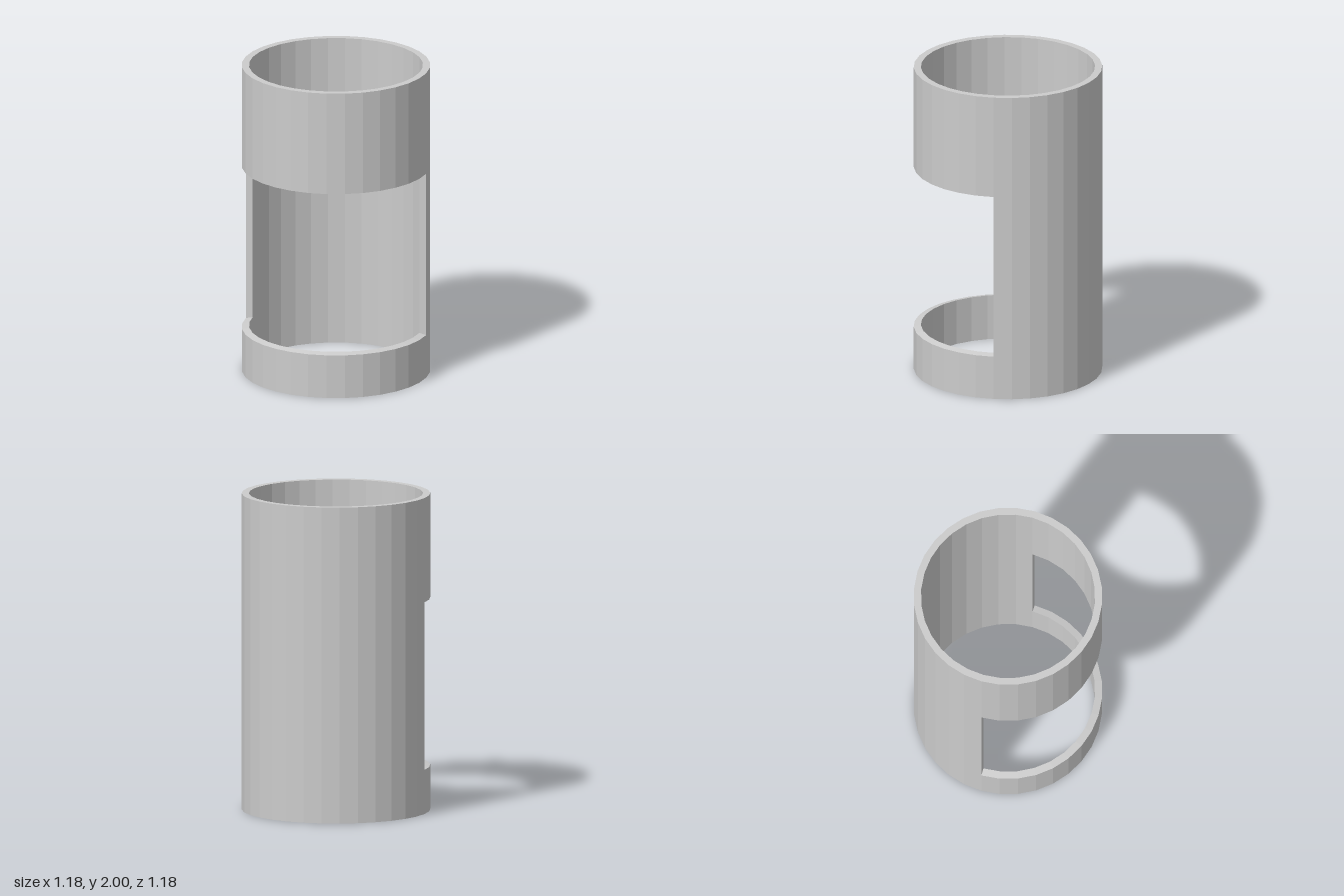
import * as THREE from 'three';

const OUTER = 0.59, INNER = 0.545, HEIGHT = 2;
// Window edges: the lips slope slightly from the outer to the inner wall
const LOW_OUT = 0.28, LOW_IN = 0.29, HIGH_OUT = 1.34, HIGH_IN = 1.33;

const material = new THREE.MeshStandardMaterial({ color: 0xcccccc, flatShading: true });

// Half of a 32-sided tube; the closed profile runs up the outside and down the inside
function halfTube(name, outBottom, outTop, inTop, inBottom, start) {
  const profile = [
    [OUTER, outBottom], [OUTER, outTop], [INNER, inTop], [INNER, inBottom], [OUTER, outBottom],
  ].map(([r, y]) => new THREE.Vector2(r, y));
  const mesh = new THREE.Mesh(new THREE.LatheGeometry(profile, 16, start, Math.PI), material);
  mesh.name = name;
  return mesh;
}

export function createModel() {
  const group = new THREE.Group();
  group.name = 'windowedSleeve';

  // Full-height back wall, with the two front bands above and below the window
  group.add(
    halfTube('backWall', 0, HEIGHT, HEIGHT, 0, Math.PI / 2),
    halfTube('upperFrontBand', HIGH_OUT, HEIGHT, HEIGHT, HIGH_IN, -Math.PI / 2),
    halfTube('lowerFrontBand', 0, LOW_OUT, LOW_IN, 0, -Math.PI / 2),
  );

  // Flat wall ends on both sides of the window, facing the front
  for (const [name, s] of [['leftWindowEdge', 1], ['rightWindowEdge', -1]]) {
    const shape = new THREE.Shape([
      [OUTER, LOW_OUT], [OUTER, HIGH_OUT], [INNER, HIGH_IN], [INNER, LOW_IN],
    ].map(([x, y]) => new THREE.Vector2(s * x, y)));
    const edge = new THREE.Mesh(new THREE.ShapeGeometry(shape), material);
    edge.name = name;
    group.add(edge);
  }
  return group;
}
